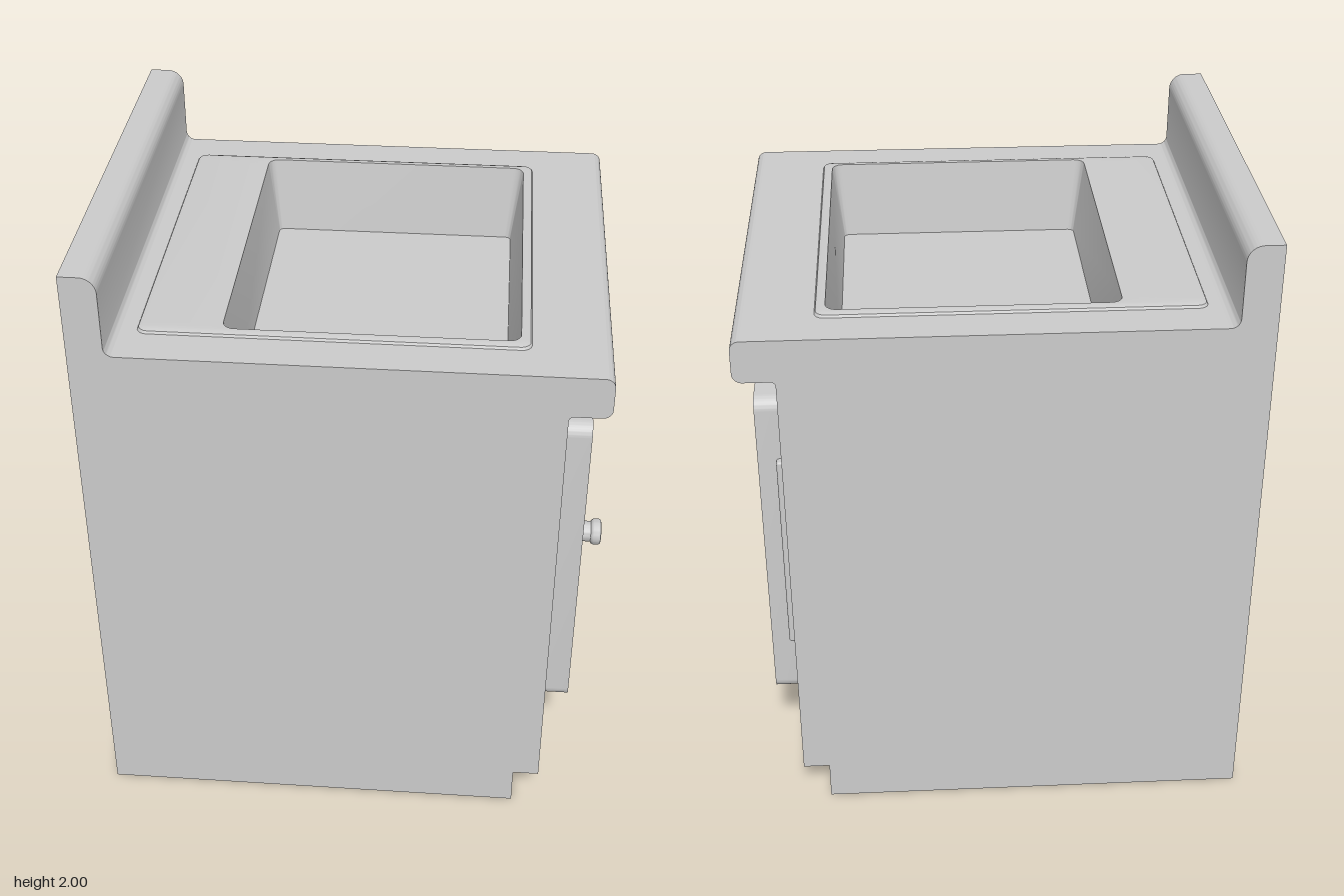
import * as THREE from 'three';
import { toCreasedNormals } from 'three/addons/utils/BufferGeometryUtils.js';
import { RoundedBoxGeometry } from 'three/addons/geometries/RoundedBoxGeometry.js';

const material = new THREE.MeshStandardMaterial({ color: 0xcccccc });
const HALF_DEPTH = 0.72, TOP = 1.74, FRONT = 0.645, CREASE = 0.6;

function part(name, geometry) {
  const mesh = new THREE.Mesh(geometry, material);
  mesh.name = name;
  return mesh;
}

// Closed loop of points round a rounded rectangle, at height y
function ring(cx, cz, hx, hz, r, y) {
  const points = [];
  for (let q = 0; q < 4; q++) {
    const sx = q === 0 || q === 3 ? 1 : -1, sz = q < 2 ? 1 : -1;
    for (let i = 0; i <= 6; i++) {
      const a = (q + i / 6) * Math.PI / 2;
      points.push([cx + sx * (hx - r) + r * Math.cos(a), y, cz + sz * (hz - r) + r * Math.sin(a)]);
    }
  }
  return points;
}

// Skin through a list of equal-length rings
function loft(rings) {
  const n = rings[0].length, index = [];
  for (let i = 0; i < rings.length - 1; i++) {
    for (let j = 0; j < n; j++) {
      const a = i * n + j, b = i * n + (j + 1) % n, c = a + n, d = b + n;
      index.push(a, c, b, b, c, d);
    }
  }
  const geometry = new THREE.BufferGeometry();
  geometry.setAttribute('position', new THREE.Float32BufferAttribute(rings.flat(2), 3));
  geometry.setIndex(index);
  return toCreasedNormals(geometry, CREASE);
}

// Cabinet, overhanging counter and backsplash as one side profile, left open on top
function cabinetGeometry() {
  const s = new THREE.Shape();
  s.moveTo(-0.81, 0);
  s.lineTo(0.56, 0);
  s.lineTo(0.56, 0.13);
  s.lineTo(FRONT, 0.13);
  s.lineTo(FRONT, 1.59);
  s.absarc(FRONT + 0.015, 1.59, 0.015, Math.PI, Math.PI / 2, true);
  s.lineTo(0.74, 1.605);
  s.absarc(0.74, 1.635, 0.03, -Math.PI / 2, 0, false);
  s.absarc(0.74, TOP - 0.03, 0.03, 0, Math.PI / 2, false);
  s.lineTo(-0.67, TOP);
  s.absarc(-0.67, TOP + 0.03, 0.03, -Math.PI / 2, -Math.PI, true);
  s.absarc(-0.75, 1.95, 0.05, 0, Math.PI / 2, false);
  s.lineTo(-0.81, 2);
  s.closePath();
  const solid = new THREE.ExtrudeGeometry(s, { depth: 2 * HALF_DEPTH, bevelEnabled: false, curveSegments: 8 });
  solid.translate(0, 0, -HALF_DEPTH);

  // Drop the counter face, which is replaced by a panel with a cut-out
  const p = solid.attributes.position.array, kept = [];
  for (let i = 0; i < p.length; i += 9) {
    const onTop = [1, 4, 7].every(k => Math.abs(p[i + k] - TOP) < 1e-4);
    if (!onTop) kept.push(...p.slice(i, i + 9));
  }
  const geometry = new THREE.BufferGeometry();
  geometry.setAttribute('position', new THREE.Float32BufferAttribute(kept, 3));
  return toCreasedNormals(geometry, CREASE);
}

function rectangle(path, x0, x1, y0, y1) {
  path.moveTo(x0, y0);
  path.lineTo(x1, y0);
  path.lineTo(x1, y1);
  path.lineTo(x0, y1);
  path.closePath();
  return path;
}

// Flat counter panel with the sink cut-out
function counterGeometry() {
  const s = rectangle(new THREE.Shape(), -0.67, 0.74, -HALF_DEPTH, HALF_DEPTH);
  s.holes.push(rectangle(new THREE.Path(), -0.6, 0.515, -0.57, 0.57));
  return new THREE.ShapeGeometry(s).rotateX(-Math.PI / 2).translate(0, TOP, 0);
}

// Raised rim, tapered basin walls and floor
function sinkGeometry() {
  const rx = -0.05, bx = 0.06;
  return loft([
    ring(rx, 0, 0.582, 0.587, 0.03, TOP),
    ring(rx, 0, 0.578, 0.583, 0.03, TOP + 0.008),
    ring(rx, 0, 0.566, 0.571, 0.025, TOP + 0.012),
    ring(bx, 0, 0.44, 0.556, 0.035, TOP + 0.012),
    ring(bx, 0, 0.408, 0.524, 0.02, 1.5),
    ring(bx, 0, 0, 0, 0, 1.5),
  ]);
}

// Door slab with rounded corners, facing +x
function doorGeometry() {
  const w = 0.52, y0 = 0.3, y1 = 1.43, r = 0.04;
  const s = new THREE.Shape();
  s.absarc(w - r, y0 + r, r, -Math.PI / 2, 0, false);
  s.absarc(w - r, y1 - r, r, 0, Math.PI / 2, false);
  s.absarc(-w + r, y1 - r, r, Math.PI / 2, Math.PI, false);
  s.absarc(-w + r, y0 + r, r, Math.PI, Math.PI * 1.5, false);
  s.closePath();
  const g = new THREE.ExtrudeGeometry(s, { depth: 0.09, bevelEnabled: false, curveSegments: 8 });
  return toCreasedNormals(g.rotateY(Math.PI / 2).translate(FRONT, 0, 0), CREASE);
}

// Turned knob: stem and rounded head along +x
function knobGeometry() {
  const profile = [[0.034, 0], [0.034, 0.036], [0.04, 0.04], [0.043, 0.046], [0.043, 0.062], [0.04, 0.068], [0.034, 0.07], [0, 0.07]]
    .map(([r, h]) => new THREE.Vector2(r, h));
  const g = new THREE.LatheGeometry(profile, 32).rotateZ(-Math.PI / 2);
  return toCreasedNormals(g.translate(0.735, 0.895, 0.35), CREASE);
}

export function createModel() {
  const model = new THREE.Group();
  model.name = 'sinkCabinet';
  model.add(
    part('cabinet', cabinetGeometry()),
    part('counterTop', counterGeometry()),
    part('sinkBasin', sinkGeometry()),
    part('door', doorGeometry()),
    part('doorKnob', knobGeometry()),
    // Hinge strip beside the door
    part('hinge', new RoundedBoxGeometry(0.05, 0.7, 0.035, 3, 0.008).translate(0.652, 0.87, -0.528)),
  );
  return model;
}
